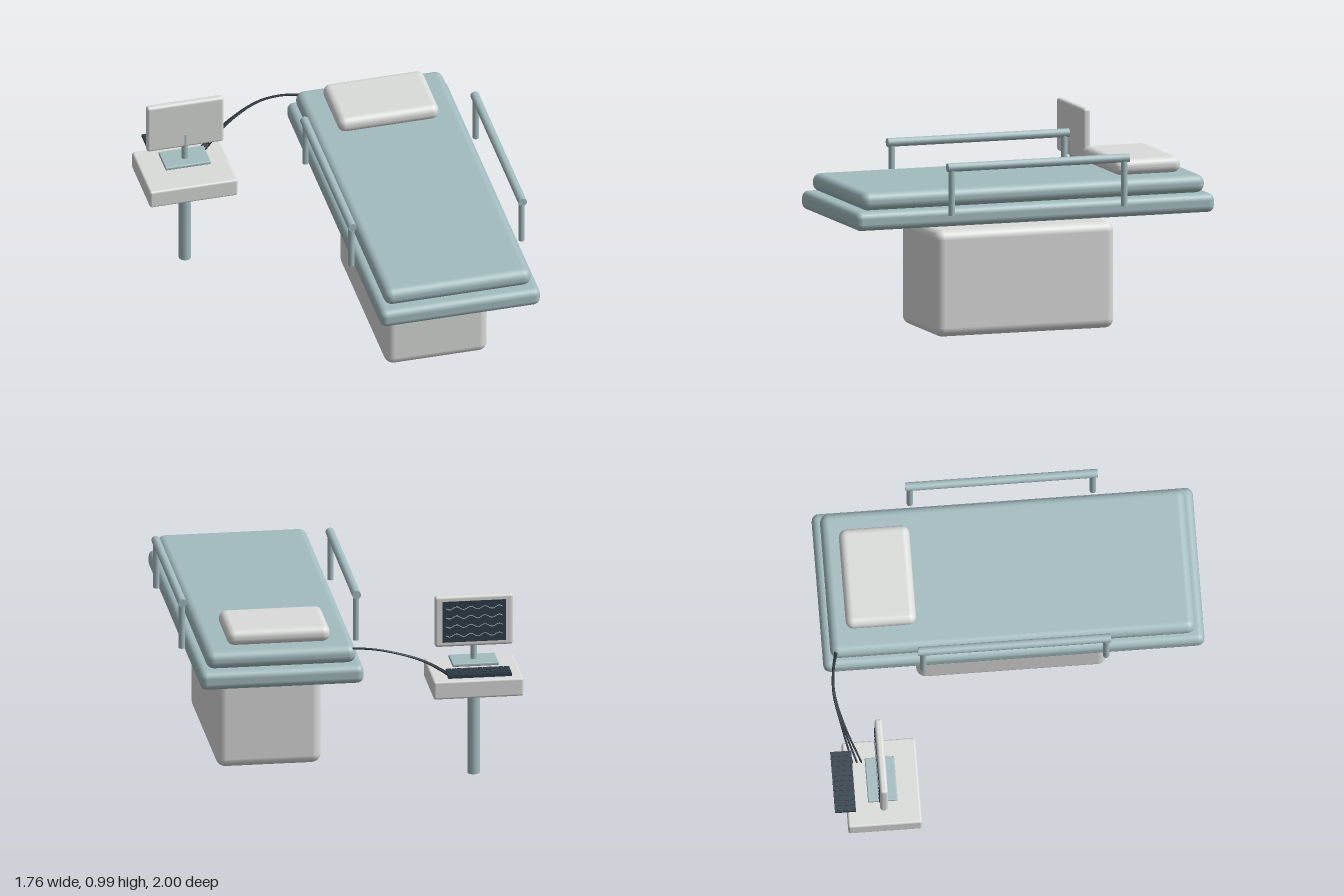
import * as THREE from 'three';
import { RoundedBoxGeometry } from 'three/addons/geometries/RoundedBoxGeometry.js';

function material(name, color) {
  const m = new THREE.MeshStandardMaterial({ color });
  m.name = name;
  return m;
}

export function createModel() {
  const teal = material('teal padding and metal', 0xa3bcbf);
  const grey = material('pale grey casing', 0xdadcda);
  const dark = material('dark slate', 0x2f3e4a);
  const black = material('cable black', 0x1f2a33);
  const pale = material('trace blue', 0xb4ccd4);

  const model = new THREE.Group();
  model.name = 'hospitalBed';

  function add(name, geometry, mat, x, y, z, parent = model) {
    const mesh = new THREE.Mesh(geometry, mat);
    mesh.name = name;
    mesh.position.set(x, y, z);
    parent.add(mesh);
    return mesh;
  }

  // Rounded box given by its min and max on each axis
  function block(name, mat, [x0, x1], [y0, y1], [z0, z1], radius, parent) {
    const g = new RoundedBoxGeometry(x1 - x0, y1 - y0, z1 - z0, 3, radius);
    return add(name, g, mat, (x0 + x1) / 2, (y0 + y1) / 2, (z0 + z1) / 2, parent);
  }

  // Upright post between two heights
  function post(name, mat, r, x, y0, y1, z, parent) {
    return add(name, new THREE.CylinderGeometry(r, r, y1 - y0, 16), mat, x, (y0 + y1) / 2, z, parent);
  }

  // Bed
  block('pedestal', grey, [0.12, 0.675], [0, 0.565], [-0.5, 0.5], 0.05);
  block('bedFrame', teal, [-0.035, 0.83], [0.61, 0.71], [-1, 1], 0.036);
  block('mattress', teal, [0, 0.793], [0.71, 0.806], [-0.96, 0.955], 0.044);
  block('pillow', grey, [0.125, 0.67], [0.804, 0.89], [-0.87, -0.5], 0.04);

  // Side rails
  for (const [side, x] of [['right', -0.063], ['left', 0.857]]) {
    const rail = new THREE.Group();
    rail.name = side + 'Rail';
    model.add(rail);
    const bar = add('railBar', new THREE.CylinderGeometry(0.023, 0.023, 1.01, 16), teal, x, 0.93, 0, rail);
    bar.rotation.x = Math.PI / 2;
    for (const z of [-0.48, 0.48]) post('railPost', teal, 0.017, x, 0.675, 0.93, z, rail);
  }

  // Monitor stand
  const stand = new THREE.Group();
  stand.name = 'monitorStand';
  model.add(stand);
  post('standPost', teal, 0.033, -0.648, 0, 0.49, -0.738, stand);
  block('tray', grey, [-0.885, -0.41], [0.48, 0.58], [-0.935, -0.548], 0.012, stand);
  block('monitorFoot', teal, [-0.77, -0.525], [0.618, 0.636], [-0.823, -0.668], 0.006, stand);
  post('monitorNeck', teal, 0.018, -0.648, 0.615, 0.79, -0.742, stand);
  block('monitorCase', grey, [-0.855, -0.44], [0.71, 0.99], [-0.765, -0.725], 0.015, stand);

  // Screen with wave traces, facing the back
  add('screen', new THREE.BoxGeometry(0.336, 0.225, 0.006), dark, -0.648, 0.85, -0.766, stand);
  for (let row = 0; row < 4; row++) {
    const points = [];
    for (let i = 0; i <= 24; i++) {
      const t = i / 24;
      points.push(new THREE.Vector3((t - 0.5) * 0.3, 0.008 * Math.sin(t * Math.PI * 8), 0));
    }
    const path = new THREE.CatmullRomCurve3(points);
    add('trace', new THREE.TubeGeometry(path, 48, 0.002, 4), pale, -0.648, 0.775 + row * 0.05, -0.769, stand);
  }

  // Keyboard
  const keyboard = new THREE.Group();
  keyboard.name = 'keyboard';
  stand.add(keyboard);
  add('keyboardBody', new THREE.BoxGeometry(0.336, 0.016, 0.11), dark, -0.646, 0.626, -0.945, keyboard);
  const key = new THREE.BoxGeometry(0.022, 0.005, 0.02);
  for (let row = 0; row < 4; row++) {
    for (let col = 0; col < 12; col++) {
      add('key', key, dark, -0.646 + (col - 5.5) * 0.0275, 0.636, -0.945 + (row - 1.5) * 0.026, keyboard);
    }
  }

  // Cables arching from the tray to the mattress
  for (let i = 0; i < 3; i++) {
    const z = -0.838 - i * 0.024;
    const path = new THREE.CatmullRomCurve3([
      new THREE.Vector3(-0.53, 0.575, z),
      new THREE.Vector3(-0.36, 0.695, -0.915 - i * 0.008),
      new THREE.Vector3(-0.2, 0.762, -0.956 - i * 0.003),
      new THREE.Vector3(-0.08, 0.786, -0.951 - i * 0.002),
      new THREE.Vector3(0.03, 0.788, -0.925 - i * 0.004),
    ]);
    add('cable', new THREE.TubeGeometry(path, 32, 0.005, 8), black, 0, 0, 0);
  }

  return model;
}
